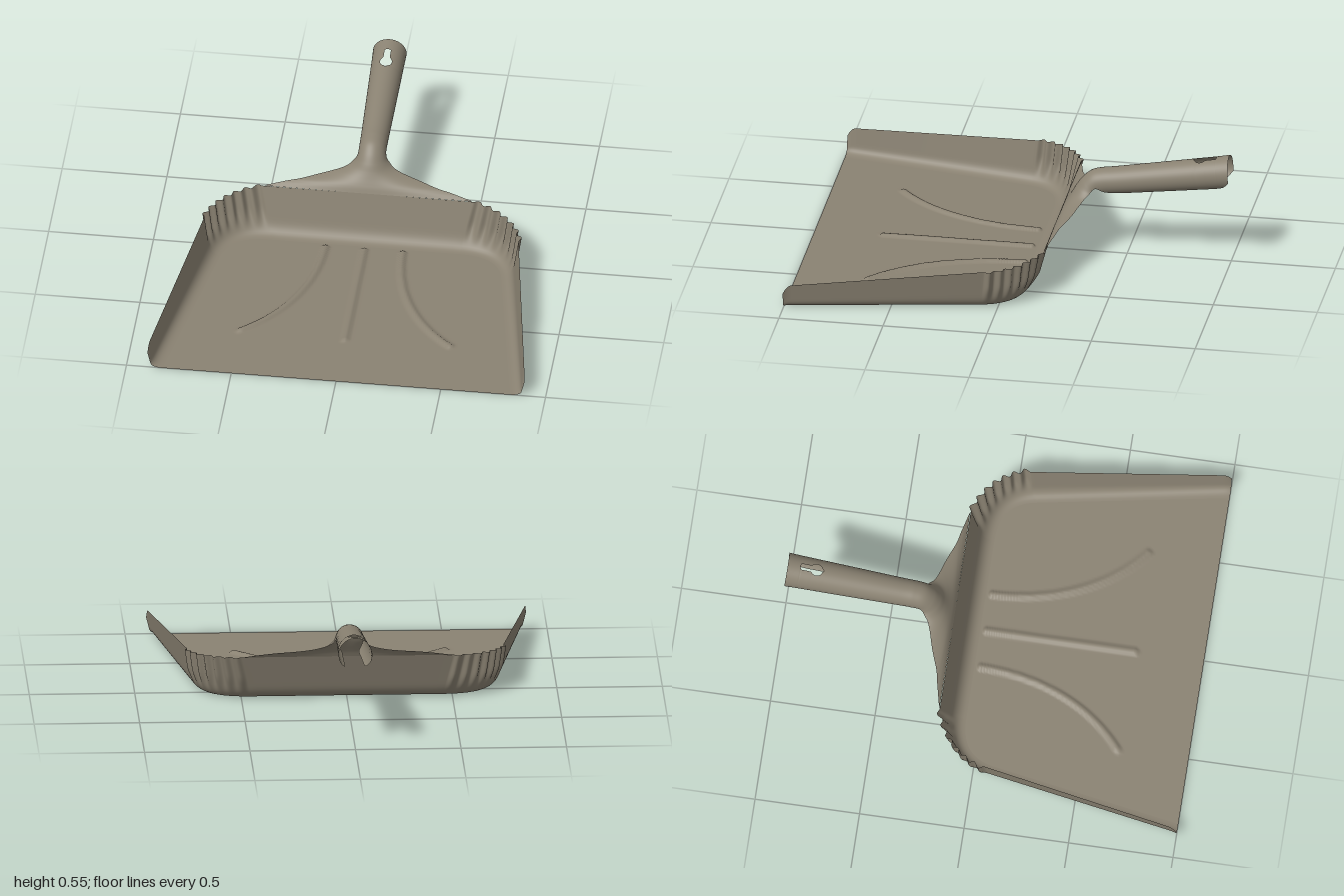
import * as THREE from 'three';
import { mergeVertices } from 'three/addons/utils/BufferGeometryUtils.js';

const lerp = THREE.MathUtils.lerp;

// Smooth surface through rows of points (each row is a list of [x, y, z]).
function gridPositions(rows) {
  const out = [];
  for (let i = 0; i + 1 < rows.length; i++) {
    for (let j = 0; j + 1 < rows[i].length; j++) {
      const a = rows[i][j], b = rows[i][j + 1], c = rows[i + 1][j + 1], d = rows[i + 1][j];
      out.push(...a, ...b, ...c, ...a, ...c, ...d);
    }
  }
  return out;
}

function sheet(name, material, ...grids) {
  const geo = new THREE.BufferGeometry();
  geo.setAttribute('position', new THREE.Float32BufferAttribute(grids.flatMap(gridPositions), 3));
  const welded = mergeVertices(geo, 1e-5);
  welded.computeVertexNormals();
  const mesh = new THREE.Mesh(welded, material);
  mesh.name = name;
  return mesh;
}

const bezier = (a, b, c, t) =>
  a.map((v, i) => v * (1 - t) * (1 - t) + 2 * b[i] * t * (1 - t) + c[i] * t * t);

// Half of the pan outline: base corner line, inner floor edge and rim.
const SIDE = 80, CORNER = 70, BACK = 12, FILLET = 0.05;

function halfOutline() {
  const pts = [];
  // straight flaring side
  for (let i = 0; i < SIDE; i++) {
    const t = i / SIDE, z = lerp(1, 0.06, t);
    const front = Math.max(0, 1 - (1 - z) / 0.04);
    pts.push({
      base: [lerp(0.88, 0.72, t), lerp(1, 0.08, t)],
      normal: [0.985, -0.17],
      rim: [lerp(0.9, 0.75, t), lerp(0.122, 0.2, t) - 0.04 * front * front, z],
    });
  }
  // ribbed corner
  for (let i = 0; i <= CORNER; i++) {
    const t = i / CORNER;
    const base = bezier([0.72, 0.08], [0.68, -0.12], [0.45, -0.12], t);
    const rim = bezier([0.75, 0.06], [0.7, -0.12], [0.5, -0.19], t);
    const angle = lerp(0.17, Math.PI / 2, t);
    const normal = [Math.cos(angle), -Math.sin(angle)];
    pts.push({
      base, normal, rib: 0.02 * Math.sin(7 * Math.PI * t) ** 2,
      rim: [rim[0], lerp(0.2, 0.225, t), rim[1]],
    });
  }
  // straight back
  for (let i = 1; i <= BACK; i++) {
    const t = i / BACK;
    pts.push({
      base: [0.45 * (1 - t), -0.12], normal: [0, -1],
      rim: [0.5 * (1 - t), 0.225, -0.19],
    });
  }
  for (const p of pts) {
    p.floor = [p.base[0] - FILLET * p.normal[0], 0, Math.min(1, p.base[1] - FILLET * p.normal[1])];
  }
  return pts;
}

// Wall cross-section: fillet from the floor, then a straight rise to the rim.
function wallSection(p) {
  const corner = [p.base[0], 0, p.base[1]];
  const start = corner.map((v, i) => lerp(v, p.rim[i], 0.3));
  const section = [];
  for (let i = 0; i <= 8; i++) section.push(bezier(p.floor, corner, start, i / 8));
  for (let i = 1; i <= 8; i++) section.push(start.map((v, k) => lerp(v, p.rim[k], i / 8)));
  return section.map(([x, y, z]) => {
    const push = (p.rib || 0) * THREE.MathUtils.smoothstep(y, 0.02, 0.12);
    return [x + push * p.normal[0], y, z + push * p.normal[1]];
  });
}

// Raised floor ribs: one straight, two curving outwards.
const ribPaths = [
  new THREE.LineCurve3(new THREE.Vector3(0, 0, -0.04), new THREE.Vector3(0, 0, 0.67)),
  new THREE.CubicBezierCurve3(
    new THREE.Vector3(0.185, 0, -0.04), new THREE.Vector3(0.19, 0, 0.25),
    new THREE.Vector3(0.3, 0, 0.5), new THREE.Vector3(0.5, 0, 0.66)),
].map((c) => c.getPoints(60));

function floorHeight(x, z) {
  let d = 1;
  for (const path of ribPaths) {
    for (const q of path) d = Math.min(d, Math.hypot(Math.abs(x) - q.x, z - q.z));
  }
  return 0.012 * (1 - THREE.MathUtils.smoothstep(d, 0.006, 0.024));
}

// Neck and handle sections: centre z, centre y, half width, arc half angle, tilt of the arc.
const sections = [
  [-0.19, 0.225, 0.5, 0.01, 0.1],
  [-0.2, 0.246, 0.4, 0.08, 0.1],
  [-0.21, 0.263, 0.3, 0.2, 0.1],
  [-0.225, 0.287, 0.18, 0.6, 0.1],
  [-0.24, 0.312, 0.115, 1.0, 0.18],
  [-0.26, 0.347, 0.083, 1.4, 0.35],
  [-0.29, 0.387, 0.07, 1.55, 0.8],
  [-0.33, 0.42, 0.065, 1.7, 1.15],
  [-0.38, 0.435, 0.065, 2.2, 1.36],
  [-0.45, 0.446, 0.066, 2.48, 1.4],
  [-0.65, 0.482, 0.071, 2.5, 1.4],
  [-0.81, 0.511, 0.075, 2.5, 1.4],
  [-0.93, 0.533, 0.078, 2.45, 1.42],
  [-0.99, 0.545, 0.08, 1.95, 1.5],
];

// Half width of the keyhole-shaped hanging hole.
function holeWidth(z) {
  const r = 0.029, d = z + 0.852;
  const round = Math.abs(d) < r ? Math.sqrt(r * r - d * d) : 0;
  const stem = z < -0.85 && z > -0.93 ? 0.015 : 0;
  return Math.max(round, stem);
}

function handleHalf(side) {
  const place = new THREE.CatmullRomCurve3(
    sections.map((s) => new THREE.Vector3(s[0], s[1], s[2])), false, 'catmullrom', 0.5);
  const bend = new THREE.CatmullRomCurve3(
    sections.map((s) => new THREE.Vector3(s[3], s[4], 0)), false, 'catmullrom', 0.5);
  const rows = [], n = (sections.length - 1) * 20, cols = 16;
  for (let i = 0; i <= n; i++) {
    const c = place.getPoint(i / n), b = bend.getPoint(i / n);
    const arc = Math.max(0.01, b.x);
    const r = arc < Math.PI / 2 ? c.z / Math.sin(arc) : c.z;
    const first = holeWidth(c.x) / r;
    const row = [];
    for (let j = 0; j <= cols; j++) {
      const a = lerp(first, arc, j / cols), drop = r * (1 - Math.cos(a));
      row.push([side * r * Math.sin(a), c.y - drop * Math.sin(b.y), c.x - drop * Math.cos(b.y)]);
    }
    rows.push(side > 0 ? row : row.reverse());
  }
  return rows;
}

export function createModel() {
  const group = new THREE.Group();
  group.name = 'dustpan';
  const plastic = new THREE.MeshStandardMaterial({ color: 0x8a8272, side: THREE.DoubleSide });
  plastic.name = 'greyBrownPlastic';

  const half = halfOutline();

  // Floor: rows run from side to side, front to back
  const floorRows = half.slice(0, SIDE + CORNER + 1).map(({ floor: [fx, , z] }) => {
    const row = [];
    for (let j = 0; j <= 140; j++) {
      const x = lerp(-fx, fx, j / 140);
      row.push([x, floorHeight(x, z), z]);
    }
    return row;
  });
  group.add(sheet('floor', plastic, floorRows));

  // Wall: left half, then the mirrored right half
  const left = half.map(wallSection);
  const right = left.slice(0, -1).reverse().map((s) => s.map(([x, y, z]) => [-x, y, z]));
  group.add(sheet('wall', plastic, [...left, ...right]));

  // Neck and open-bottomed handle
  group.add(sheet('handle', plastic, handleHalf(1), handleHalf(-1)));
  return group;
}
